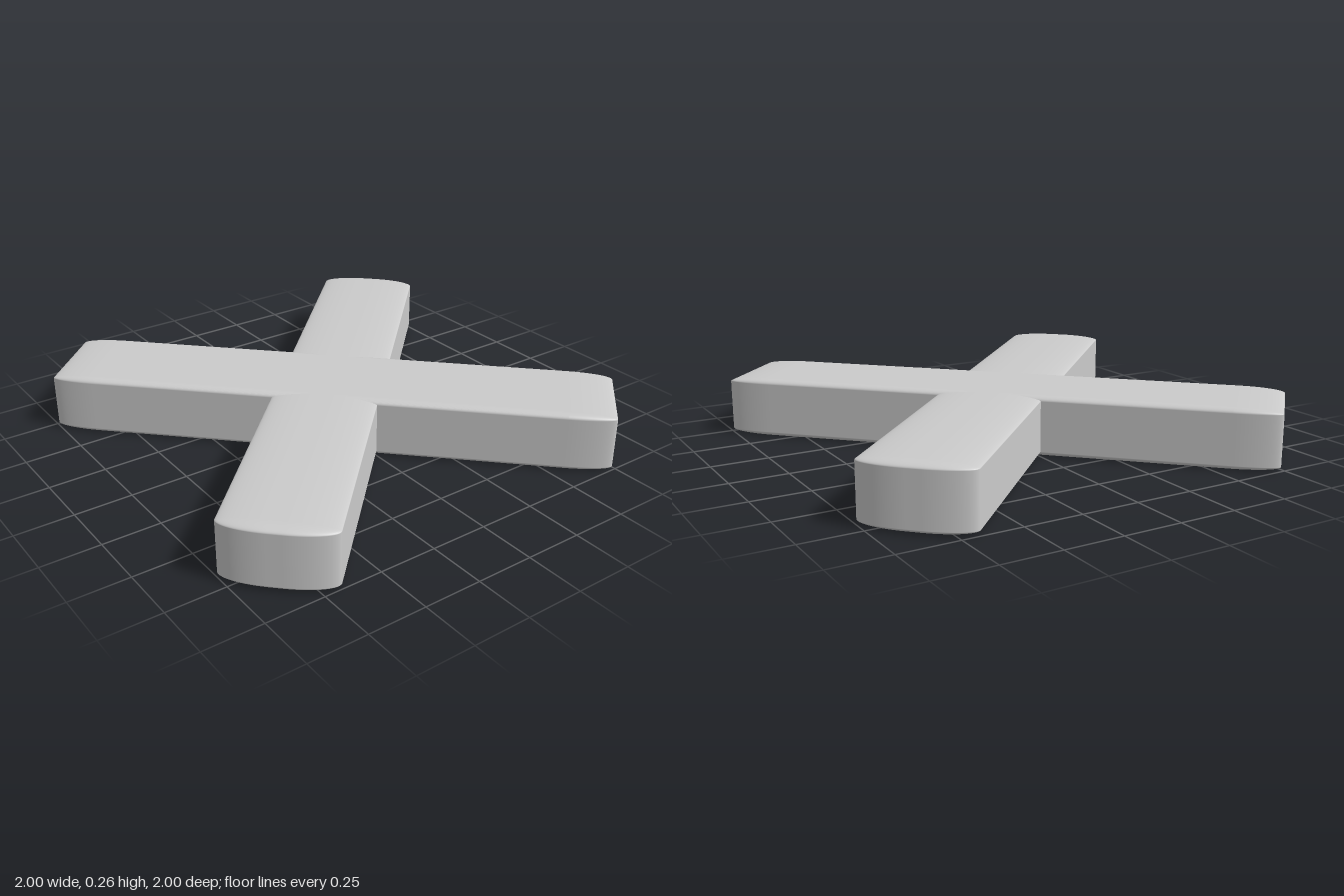
import * as THREE from 'three';
import { RoundedBoxGeometry } from 'three/addons/geometries/RoundedBoxGeometry.js';

const HEIGHT = 0.26;

// Bar along x with elliptical edge rounding: a box of radius 1, stretched per axis
function bar(name, length, width, [rx, ry, rz], angle) {
  const geometry = new RoundedBoxGeometry(length / rx, HEIGHT / ry, width / rz, 8, 1);
  geometry.scale(rx, ry, rz);
  const mesh = new THREE.Mesh(geometry, new THREE.MeshStandardMaterial({ color: 0xcccccc }));
  mesh.name = name;
  mesh.position.y = HEIGHT / 2;
  mesh.rotation.y = angle;
  return mesh;
}

export function createModel() {
  const group = new THREE.Group();
  group.name = 'cross';
  // Flat-ended bar whose sides taper in towards the ends
  group.add(bar('flatBar', 2.444, 0.452, [0.2, 0.02, 0.035], -Math.PI / 4));
  // Crowned bar with bulging ends
  group.add(bar('crownedBar', 2.474, 0.456, [0.06, 0.02, 0.2], Math.PI / 4));
  return group;
}
